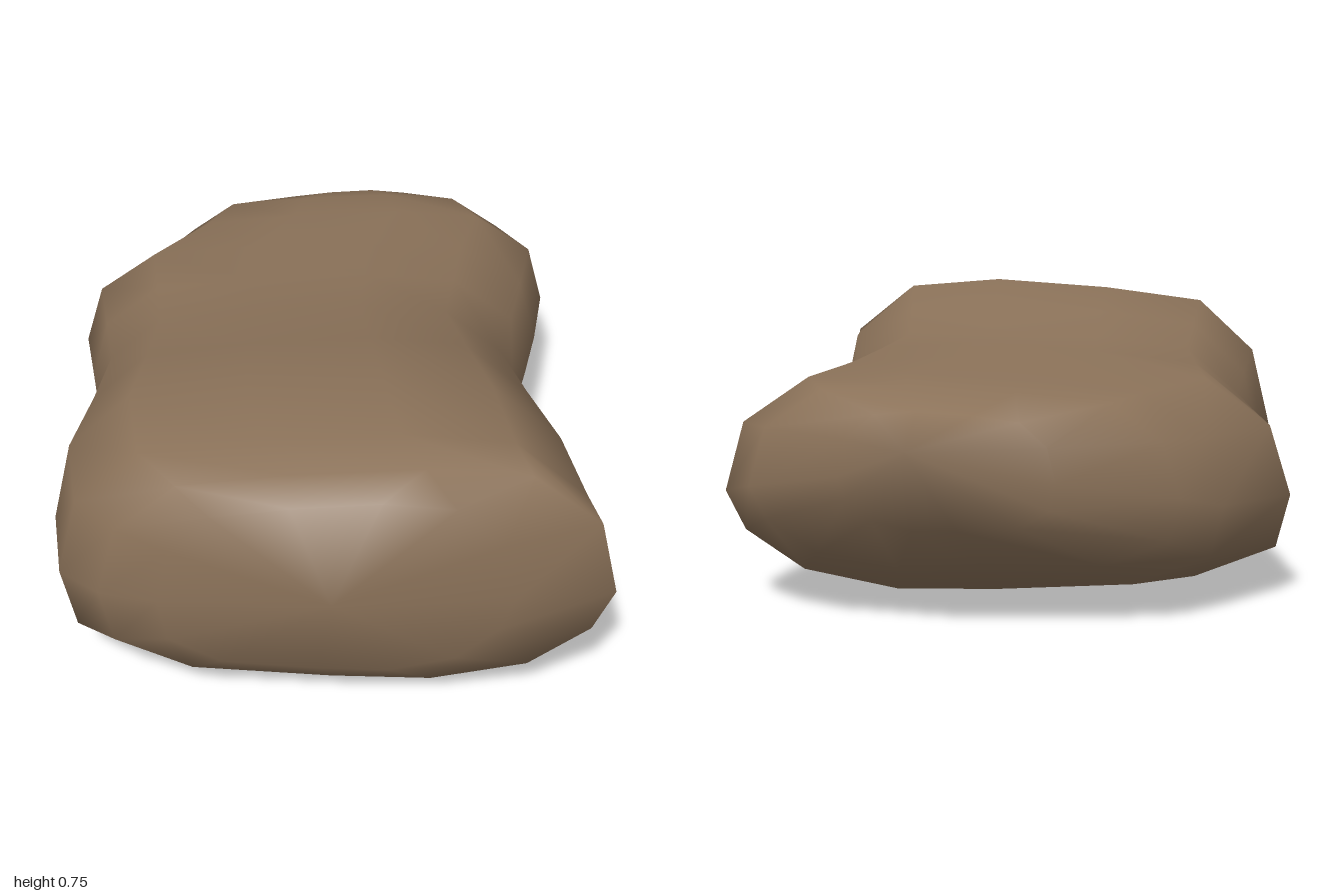
import * as THREE from 'three';

// Outline of one slice, counter-clockwise: u spans left..right, v spans bottom..top
const OUTLINE = [
  [1, 0.44], [0.92, 0.76], [0.65, 0.97], [0.25, 1], [-0.25, 0.97], [-0.68, 0.92], [-0.92, 0.72],
  [-1, 0.42], [-0.95, 0.19], [-0.65, 0.05], [-0.1, 0.01], [0.3, 0], [0.68, 0.08], [0.92, 0.26],
];

// Slices from front to back: z, left x, right x, bottom y, top y
const SLICES = [
  [0.93, -0.38, 0.46, 0.17, 0.67],
  [0.85, -0.53, 0.71, 0.07, 0.71],
  [0.74, -0.64, 0.69, 0.01, 0.73],
  [0.52, -0.68, 0.65, 0, 0.745],
  [0.25, -0.65, 0.59, 0.005, 0.69],
  [0, -0.63, 0.54, 0.02, 0.64],
  [-0.2, -0.67, 0.59, 0.02, 0.62],
  [-0.42, -0.715, 0.64, 0.02, 0.605],
  [-0.64, -0.55, 0.68, 0.05, 0.59],
  [-0.78, -0.45, 0.58, 0.13, 0.575],
  [-0.9, -0.17, 0.34, 0.25, 0.53],
];
const FRONT_TIP = [0.03, 0.43, 1];
const BACK_TIP = [0.16, 0.45, -1];

function boulderGeometry() {
  const n = OUTLINE.length;
  const positions = [];
  const index = [];
  for (const [z, left, right, bottom, top] of SLICES) {
    for (const [u, v] of OUTLINE) {
      positions.push(
        THREE.MathUtils.lerp(left, right, (u + 1) / 2),
        THREE.MathUtils.lerp(bottom, top, v),
        z,
      );
    }
  }
  const front = positions.length / 3;
  const back = front + 1;
  positions.push(...FRONT_TIP, ...BACK_TIP);

  const last = (SLICES.length - 1) * n;
  for (let i = 0; i < n; i++) {
    const j = (i + 1) % n;
    // skin between neighbouring slices
    for (let s = 0; s < last; s += n) {
      index.push(s + i, s + n + i, s + n + j, s + i, s + n + j, s + j);
    }
    // pointed ends
    index.push(front, i, j);
    index.push(back, last + j, last + i);
  }

  const geometry = new THREE.BufferGeometry();
  geometry.setAttribute('position', new THREE.Float32BufferAttribute(positions, 3));
  geometry.setIndex(index);
  geometry.computeVertexNormals();
  return geometry;
}

export function createModel() {
  const stone = new THREE.MeshStandardMaterial({ color: 0x8b7259 });
  stone.name = 'brown stone';

  const boulder = new THREE.Mesh(boulderGeometry(), stone);
  boulder.name = 'boulder';

  const group = new THREE.Group();
  group.name = 'rock';
  group.add(boulder);
  return group;
}
